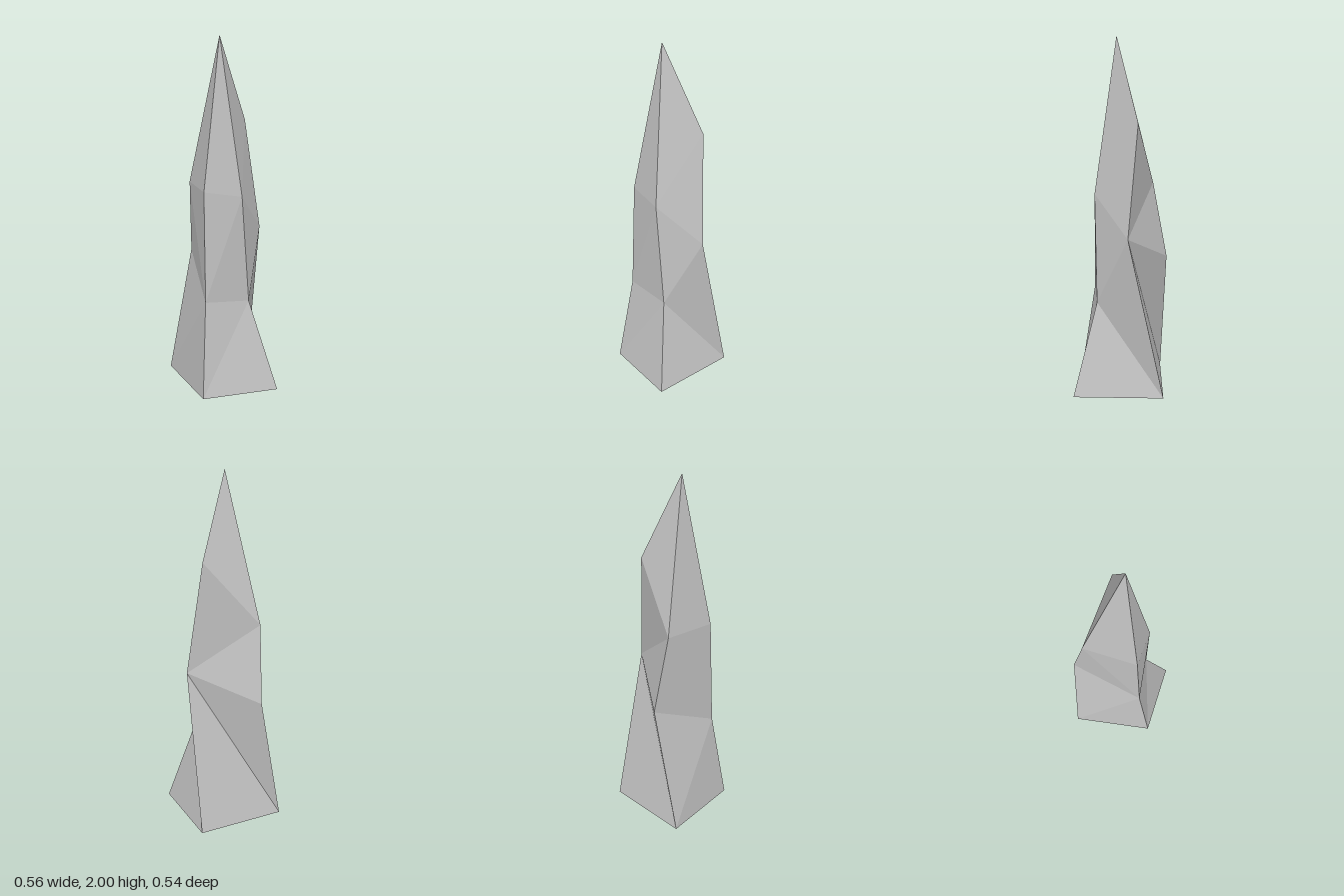
import * as THREE from 'three';

// Low-poly rock spire: three irregular four-corner rings rising to a point.
export function createModel() {
  const group = new THREE.Group();
  group.name = 'rockSpire';
  const stone = new THREE.MeshStandardMaterial({ color: 0xc0c0c0, flatShading: true });
  stone.name = 'stone grey';

  // Corners run front left, front right, back right, back left as seen from the front
  const rings = [
    [[-0.161, 0, 0.269], [0.281, 0, 0.231], [0.225, 0, -0.271], [-0.283, 0, -0.205]],
    [[-0.129, 0.54, 0.179], [0.133, 0.515, 0.12], [0.241, 0.905, -0.071], [-0.139, 0.735, -0.25]],
    [[-0.13, 1.165, 0.151], [0.086, 1.13, 0.139], [0.158, 1.53, -0.115], [-0.159, 1.17, -0.165]],
  ];
  const tip = [-0.019, 2, 0.03];

  // 1: crease rises from the first lower corner; 0: from the second
  const creases = [[1, 0, 0, 1], [1, 0, 1, 0]];

  const points = [];
  const triangle = (a, b, c) => points.push(...a, ...b, ...c);

  // Side facets between neighbouring rings
  creases.forEach((row, level) => row.forEach((rising, i) => {
    const j = (i + 1) % 4;
    const a = rings[level][i], b = rings[level][j];
    const c = rings[level + 1][j], d = rings[level + 1][i];
    if (rising) {
      triangle(a, b, c);
      triangle(a, c, d);
    } else {
      triangle(a, b, d);
      triangle(b, c, d);
    }
  }));

  // Pointed top
  rings[2].forEach((corner, i) => triangle(corner, rings[2][(i + 1) % 4], tip));

  // Flat underside
  const [a, b, c, d] = rings[0];
  triangle(a, d, c);
  triangle(a, c, b);

  const geometry = new THREE.BufferGeometry();
  geometry.setAttribute('position', new THREE.Float32BufferAttribute(points, 3));
  geometry.computeVertexNormals();

  const spire = new THREE.Mesh(geometry, stone);
  spire.name = 'spire';
  group.add(spire);
  return group;
}
